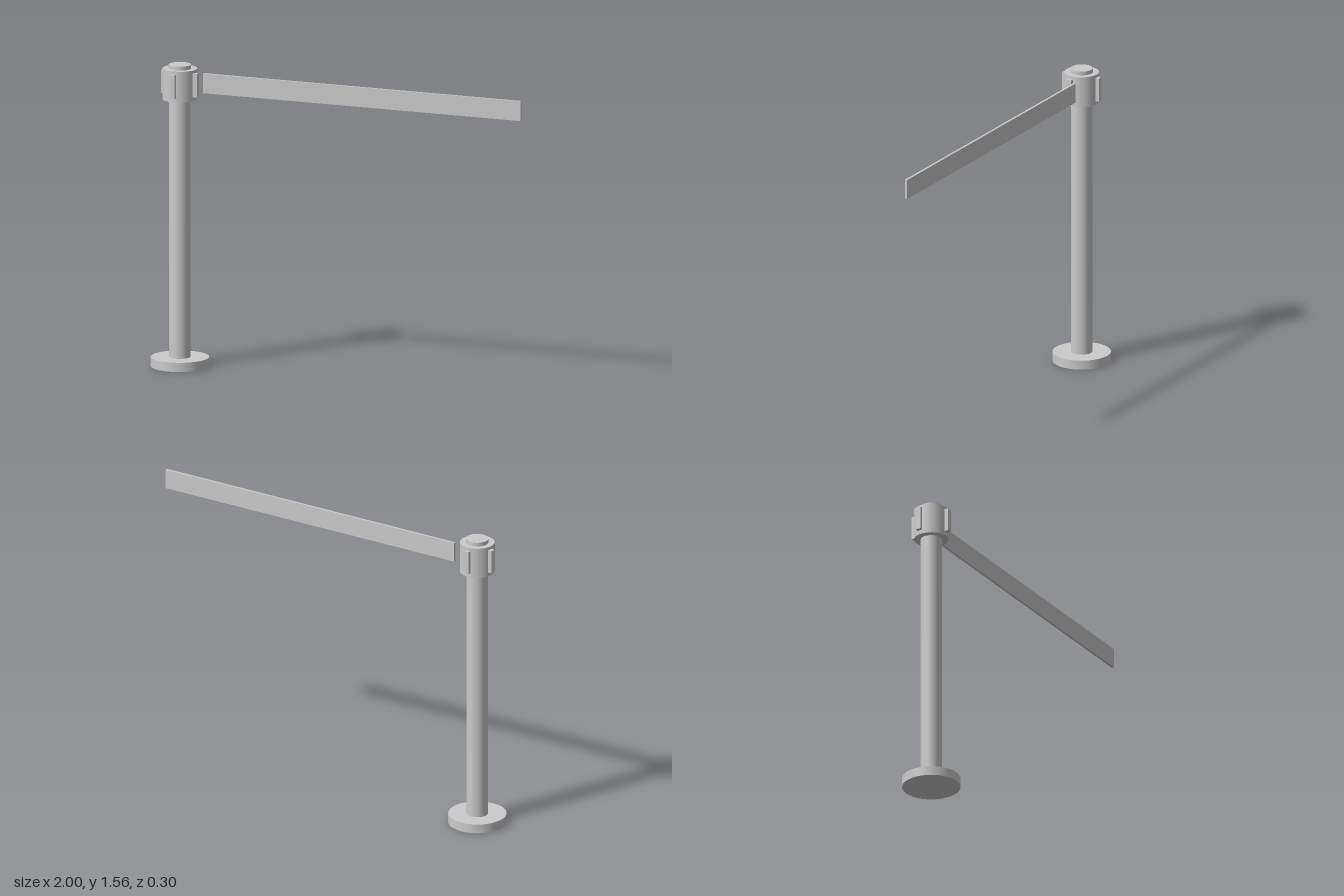
import * as THREE from 'three';

const material = new THREE.MeshStandardMaterial({ color: 0xcccccc });

function addMesh(parent, name, geometry, x, y, z) {
  const mesh = new THREE.Mesh(geometry, material);
  mesh.name = name;
  mesh.position.set(x, y, z);
  parent.add(mesh);
  return mesh;
}

// Upright disc or tube standing between two heights
function addCylinder(parent, name, radius, bottom, top) {
  const geometry = new THREE.CylinderGeometry(radius, radius, top - bottom, 32);
  return addMesh(parent, name, geometry, 0, (bottom + top) / 2, 0);
}

export function createModel() {
  const model = new THREE.Group();
  model.name = 'barrierPost';

  // Round stand, centred on its own axis
  const stand = new THREE.Group();
  stand.name = 'stand';
  stand.position.x = -0.852;
  model.add(stand);

  addCylinder(stand, 'base', 0.148, 0, 0.048);
  addCylinder(stand, 'post', 0.054, 0.048, 1.38);
  addCylinder(stand, 'head', 0.088, 1.38, 1.54);
  addCylinder(stand, 'cap', 0.057, 1.54, 1.56);

  // Belt clips around the head; the two side clips sit slightly off axis
  const clip = new THREE.BoxGeometry(0.028, 0.122, 0.03);
  addMesh(stand, 'frontClip', clip, 0, 1.463, 0.092);
  addMesh(stand, 'backClip', clip, 0, 1.463, -0.092);
  for (const side of [-1, 1]) {
    const name = side > 0 ? 'leftClip' : 'rightClip';
    addMesh(stand, name, clip, side * 0.09, 1.463, side * 0.016).rotation.y = Math.PI / 2;
  }

  // Flat belt stretched out to the side
  addMesh(model, 'belt', new THREE.BoxGeometry(1.733, 0.102, 0.012), 0.1335, 1.467, -0.026);

  return model;
}
